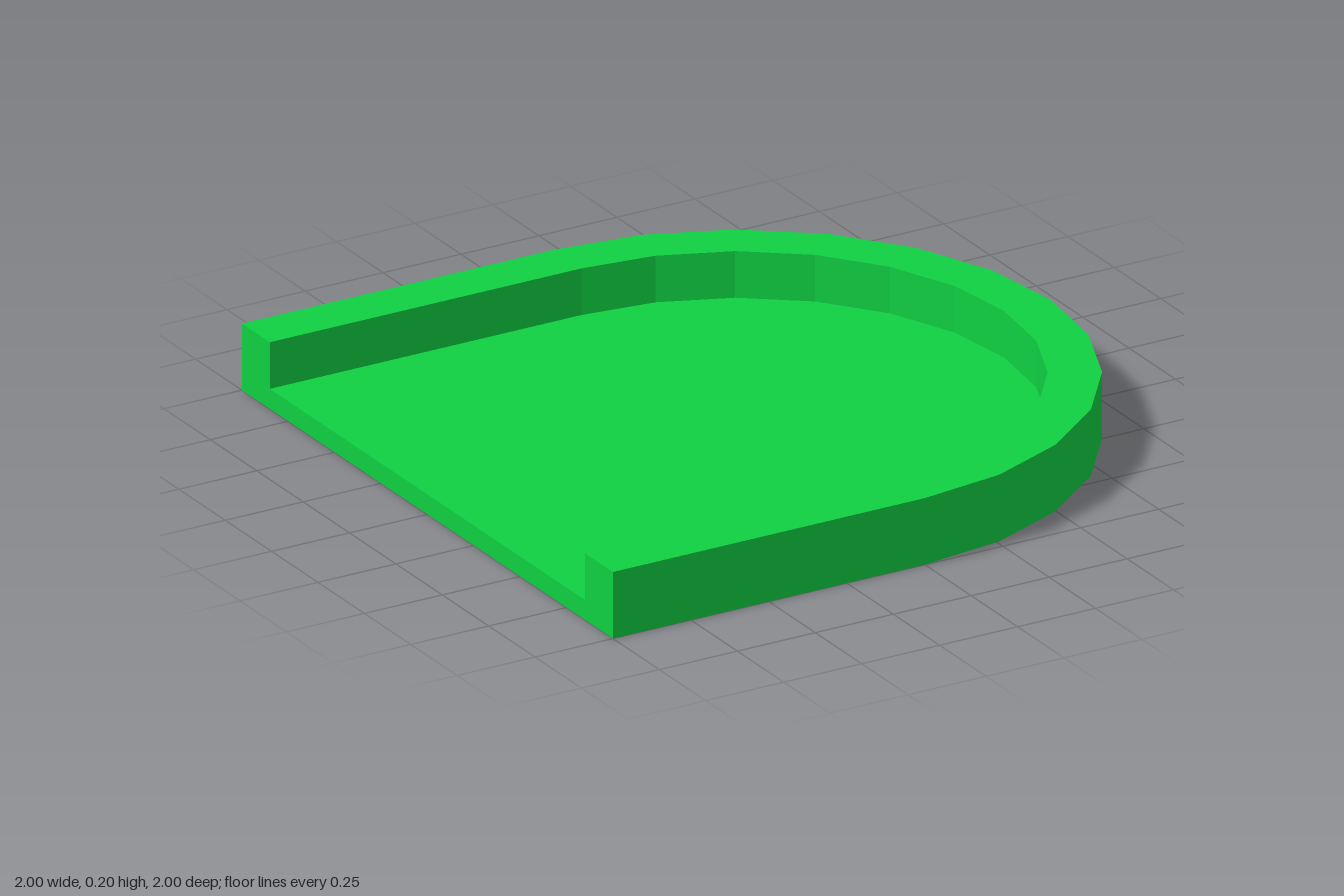
import * as THREE from 'three';

const OUTER = 1, INNER = 0.85, HEIGHT = 0.2, FLOOR = 0.06, SEGMENTS = 12;

// U-shaped outline: straight sides from x = -1, half circle towards +x
function outline(radius) {
  const points = [new THREE.Vector2(-1, -radius)];
  for (let i = 0; i <= SEGMENTS; i++) {
    const a = -Math.PI / 2 + (i / SEGMENTS) * Math.PI;
    points.push(new THREE.Vector2(Math.cos(a) * radius, Math.sin(a) * radius));
  }
  points.push(new THREE.Vector2(-1, radius));
  return points;
}

// Extrude a plan outline upwards from the ground
function slab(name, points, height, material) {
  const geometry = new THREE.ExtrudeGeometry(new THREE.Shape(points), { depth: height, bevelEnabled: false });
  geometry.rotateX(-Math.PI / 2);
  const mesh = new THREE.Mesh(geometry, material);
  mesh.name = name;
  return mesh;
}

export function createModel() {
  const group = new THREE.Group();
  group.name = 'roundEndedTray';
  const green = new THREE.MeshStandardMaterial({ color: 0x10d042, flatShading: true });

  // Thin floor, open at the straight end
  group.add(slab('floor', outline(INNER), FLOOR, green));

  // Raised rim around both sides and the rounded end
  group.add(slab('rim', [...outline(OUTER), ...outline(INNER).reverse()], HEIGHT, green));
  return group;
}
